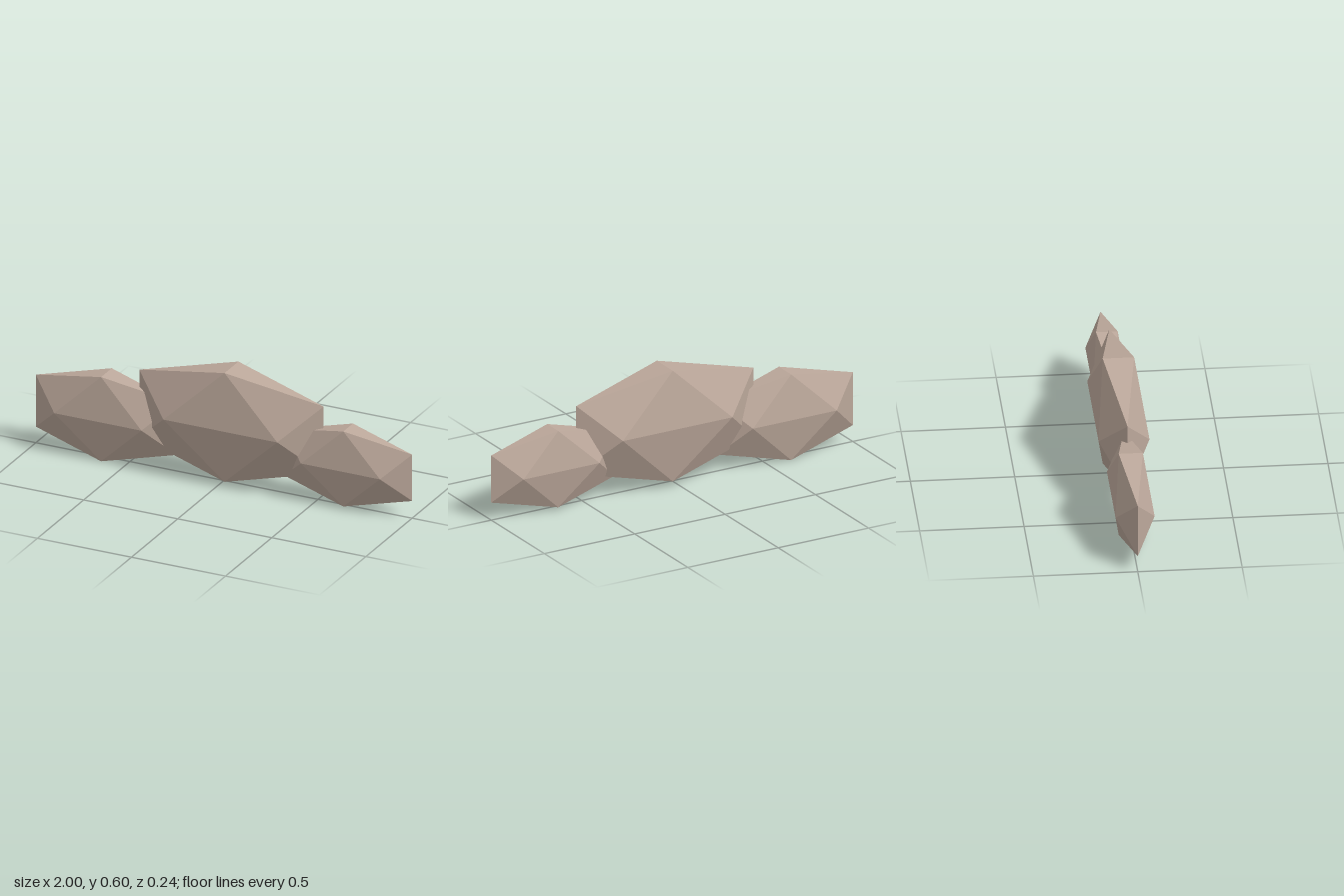
import * as THREE from 'three';

export function createModel() {
  const group = new THREE.Group();
  const stone = new THREE.MeshStandardMaterial({ color: 0xbca89b, flatShading: true });
  stone.name = 'warm grey stone';

  // A faceted boulder: an icosahedron with its ridge across the width, squashed thin
  function boulder(name, position, scale) {
    const geometry = new THREE.IcosahedronGeometry(1, 0);
    geometry.rotateY(Math.PI / 2);
    geometry.scale(...scale);
    geometry.computeVertexNormals();
    const mesh = new THREE.Mesh(geometry, stone);
    mesh.name = name;
    mesh.position.set(...position);
    group.add(mesh);
  }

  // Large middle stone with a smaller one overlapping it on each side
  boulder('middleBoulder', [0.04, 0.315, 0], [0.576, 0.334, 0.1435]);
  boulder('rightBoulder', [-0.625, 0.22, 0], [0.441, 0.2586, 0.11]);
  boulder('leftBoulder', [0.66, 0.211, 0], [0.4, 0.2304, 0.099]);

  return group;
}
